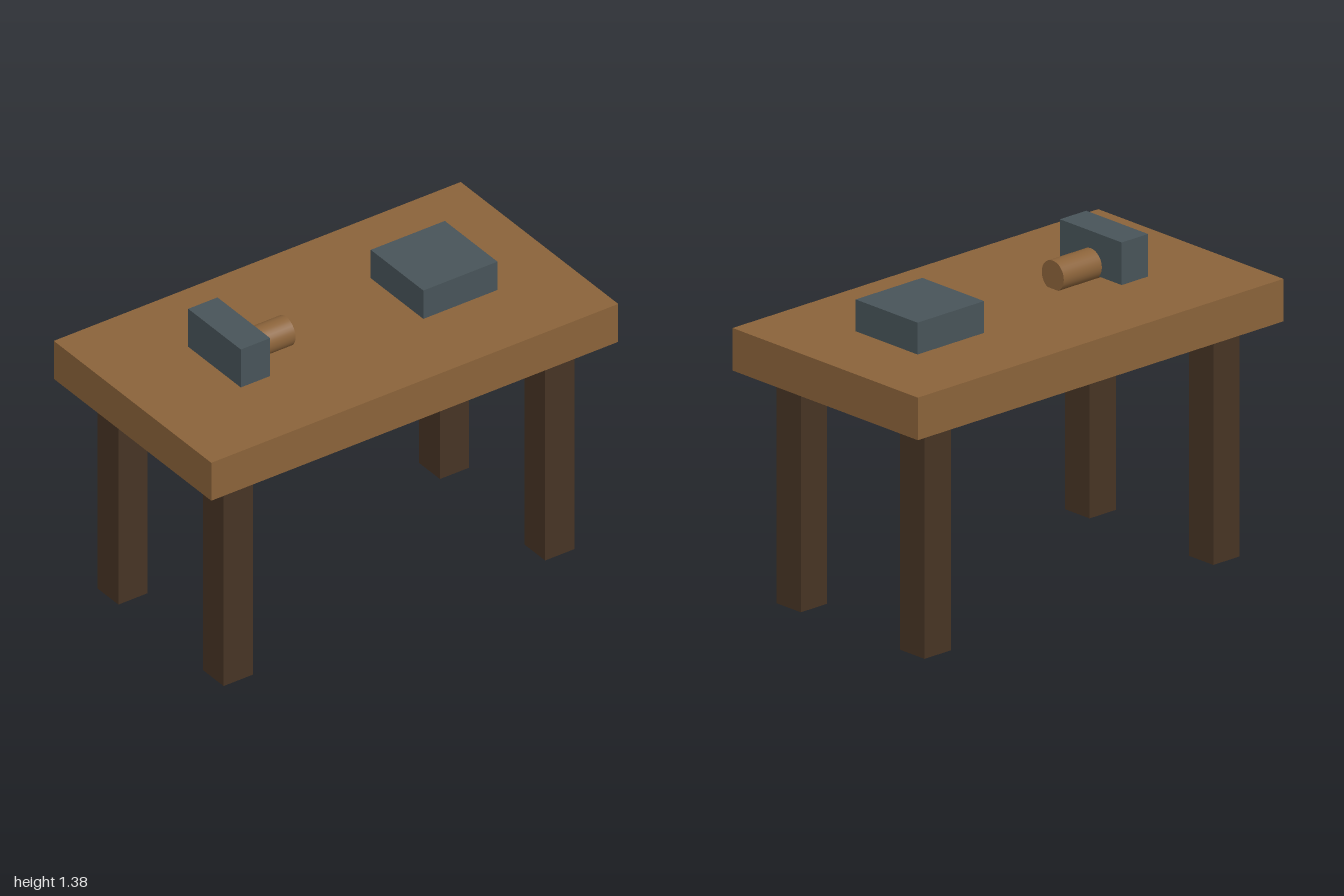
import * as THREE from 'three';

const material = (name, color) => {
  const m = new THREE.MeshStandardMaterial({ color });
  m.name = name;
  return m;
};

export function createModel() {
  const wood = material('wood', 0x8b633a);
  const darkWood = material('dark wood', 0x473424);
  const metal = material('slate metal', 0x485459);

  const model = new THREE.Group();
  model.name = 'workbench';

  const add = (name, geometry, mat, x, y, z, parent = model) => {
    const mesh = new THREE.Mesh(geometry, mat);
    mesh.name = name;
    mesh.position.set(x, y, z);
    parent.add(mesh);
    return mesh;
  };

  // Table top
  add('tableTop', new THREE.BoxGeometry(2, 0.182, 1.09), wood, 0, 1.091, 0);

  // Four square legs
  const legGeometry = new THREE.BoxGeometry(0.144, 1, 0.144);
  for (const [side, x] of [['Left', 0.79], ['Right', -0.79]]) {
    for (const [end, z] of [['front', 0.364], ['back', -0.364]]) {
      add(`${end}${side}Leg`, legGeometry, darkWood, x, 0.5, z);
    }
  }

  // Mallet lying on the top: block head with a round handle
  const mallet = new THREE.Group();
  mallet.name = 'mallet';
  model.add(mallet);
  add('malletHead', new THREE.BoxGeometry(0.144, 0.182, 0.364), metal, -0.525, 1.286, 0, mallet);
  const handle = new THREE.CylinderGeometry(0.065, 0.065, 0.24, 32).rotateZ(Math.PI / 2);
  add('malletHandle', handle, wood, -0.365, 1.238, 0, mallet);

  // Metal block
  add('metalBlock', new THREE.BoxGeometry(0.364, 0.136, 0.364), metal, 0.482, 1.25, 0);

  return model;
}
